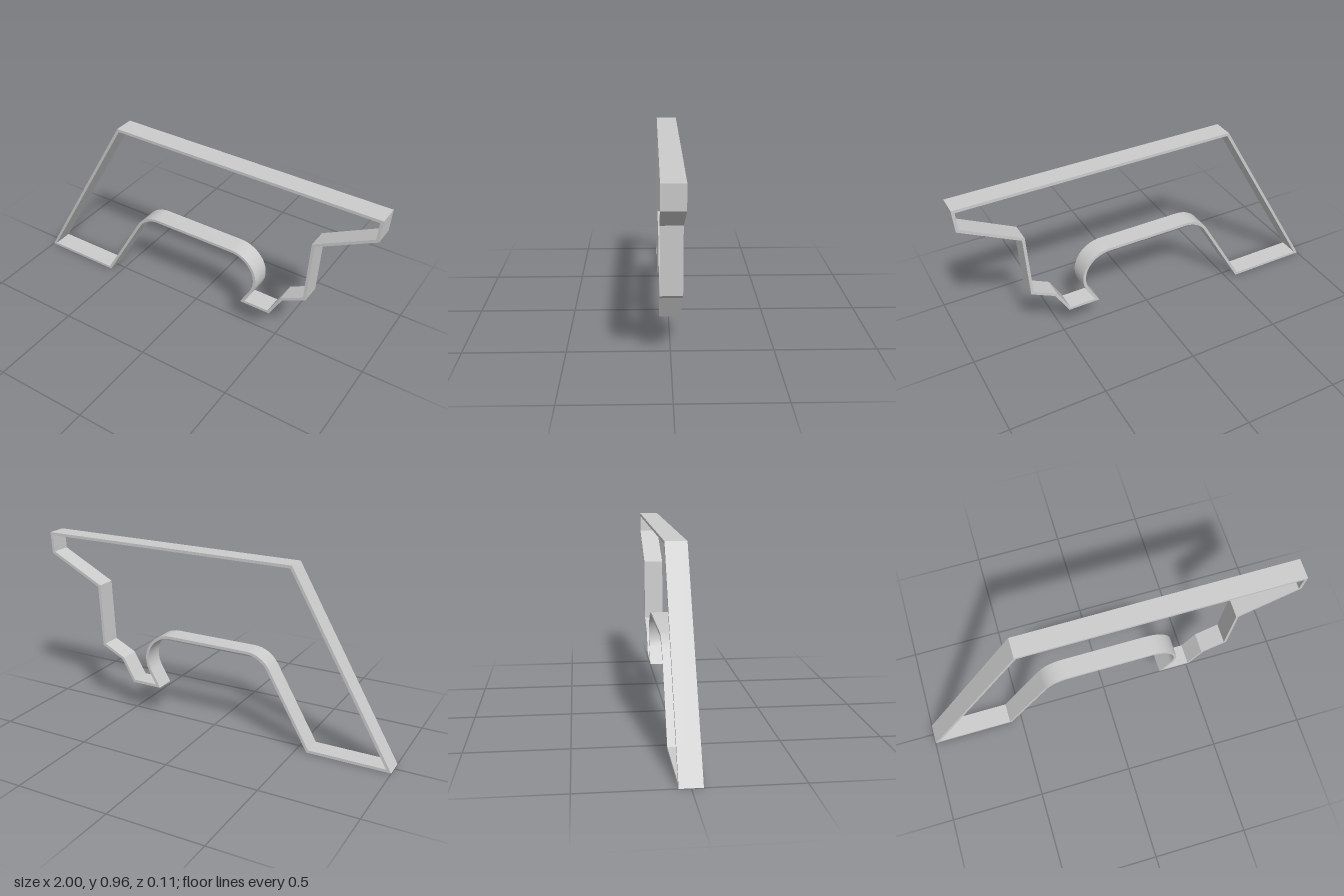
import * as THREE from 'three';
import { toCreasedNormals } from 'three/addons/utils/BufferGeometryUtils.js';

const WALL = 0.015, DEPTH = 0.106, R = 0.137, ARCH_Y = 0.469;

// points along an arc, angles in degrees
function arc(cx, cy, r, from, to, n = 16) {
  return Array.from({ length: n + 1 }, (_, i) => {
    const a = THREE.MathUtils.degToRad(from + ((to - from) * i) / n);
    return new THREE.Vector2(cx + r * Math.cos(a), cy + r * Math.sin(a));
  });
}

// move a clockwise outline inwards by d, with mitred corners
function inset(pts, d) {
  const normal = (a, b) => {
    const e = b.clone().sub(a).normalize();
    return new THREE.Vector2(e.y, -e.x);
  };
  return pts.map((p, i) => {
    const n1 = normal(pts[(i + pts.length - 1) % pts.length], p);
    const n2 = normal(p, pts[(i + 1) % pts.length]);
    return n1.clone().add(n2).multiplyScalar(d / (1 + n1.dot(n2))).add(p);
  });
}

export function createModel() {
  const grey = new THREE.MeshStandardMaterial({ color: 0xcccccc });
  grey.name = 'lightGrey';

  // outer outline, clockwise from the bottom left corner
  const v = (x, y) => new THREE.Vector2(x, y);
  const outer = [
    v(-1, 0), v(-0.445, 0.963), v(1, 0.963), v(0.993, 0.847), v(0.694, 0.694),
    v(0.677, 0.358), v(0.552, 0.296), v(0.482, 0.173), v(0.31, 0.173),
    ...arc(0.243, ARCH_Y - R, R, -30, 90),
    ...arc(-0.209, ARCH_Y - R, R, 90, 150, 8),
    v(-0.559, 0),
  ];

  // thin wall following the outline, open in the middle;
  // the hole runs anticlockwise so that its walls face inwards
  const shape = new THREE.Shape(outer);
  shape.holes.push(new THREE.Path(inset(outer, WALL).reverse()));
  const geo = new THREE.ExtrudeGeometry(shape, { depth: DEPTH, bevelEnabled: false });
  geo.translate(0, 0, -DEPTH / 2);

  const band = new THREE.Mesh(toCreasedNormals(geo, 0.4), grey);
  band.name = 'outlineBand';

  const group = new THREE.Group();
  group.name = 'cutterFrame';
  group.add(band);
  return group;
}
